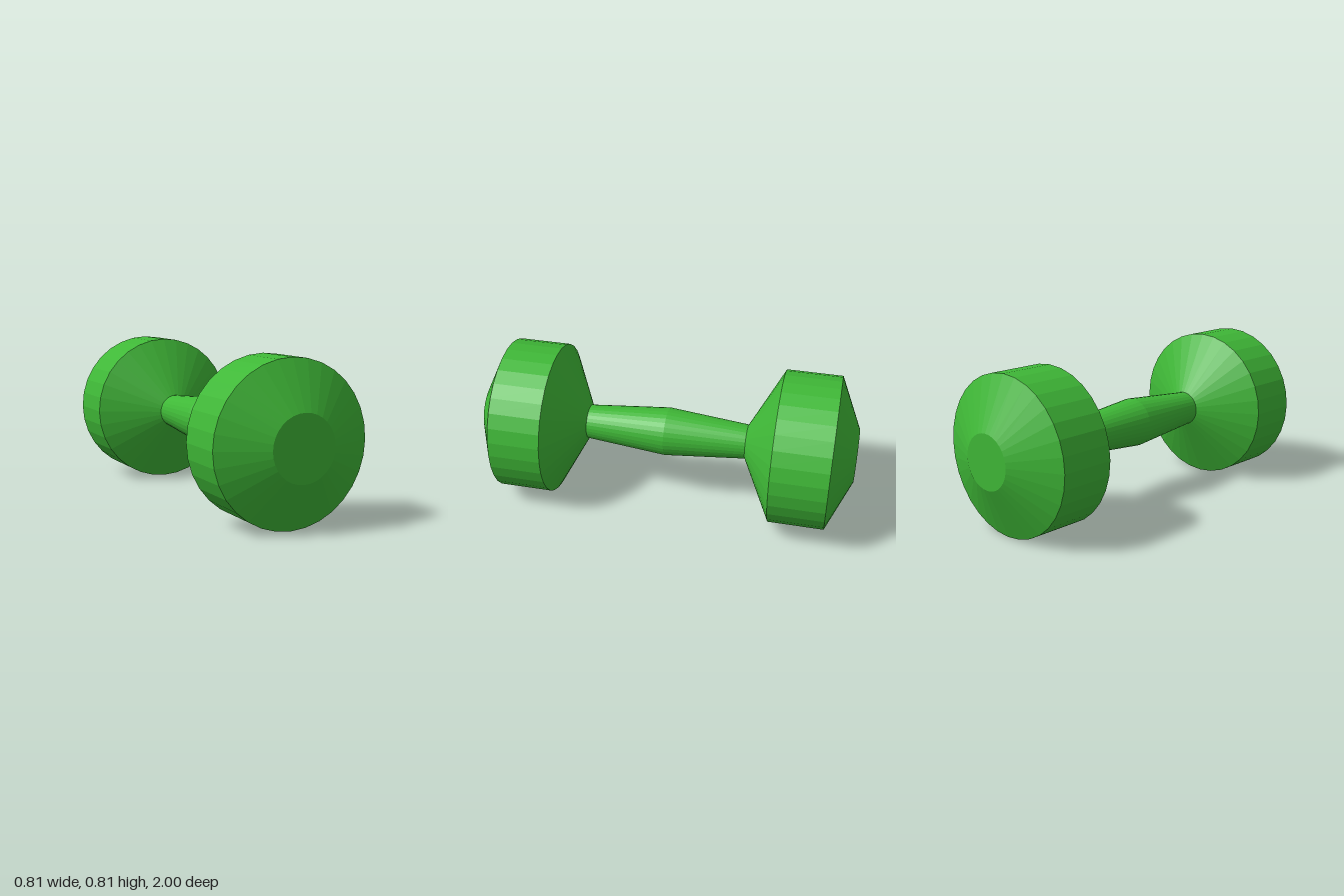
import * as THREE from 'three';

const RADIUS = 0.407;
const SIDES = 32;

export function createModel() {
  const group = new THREE.Group();
  group.name = 'dumbbell';
  const material = new THREE.MeshStandardMaterial({ color: 0x3fb837, flatShading: true });

  // Turned part along z, from [radius, z] pairs running back to front
  function turned(name, profile) {
    const points = profile.map(([r, z]) => new THREE.Vector2(r, z));
    const geometry = new THREE.LatheGeometry(points, SIDES);
    geometry.rotateX(Math.PI / 2);
    const mesh = new THREE.Mesh(geometry, material);
    mesh.name = name;
    mesh.position.y = RADIUS;
    group.add(mesh);
  }

  // Weights with bevelled ends; the back cap is a little smaller
  turned('backWeight', [[0, -1], [0.14, -1], [RADIUS, -0.88], [RADIUS, -0.585], [0.092, -0.42]]);
  turned('frontWeight', [[0.092, 0.445], [RADIUS, 0.608], [RADIUS, 0.886], [0.165, 1], [0, 1]]);

  // Grip swelling at the middle
  turned('handle', [[0.092, -0.42], [0.13, 0.012], [0.092, 0.445]]);

  return group;
}
